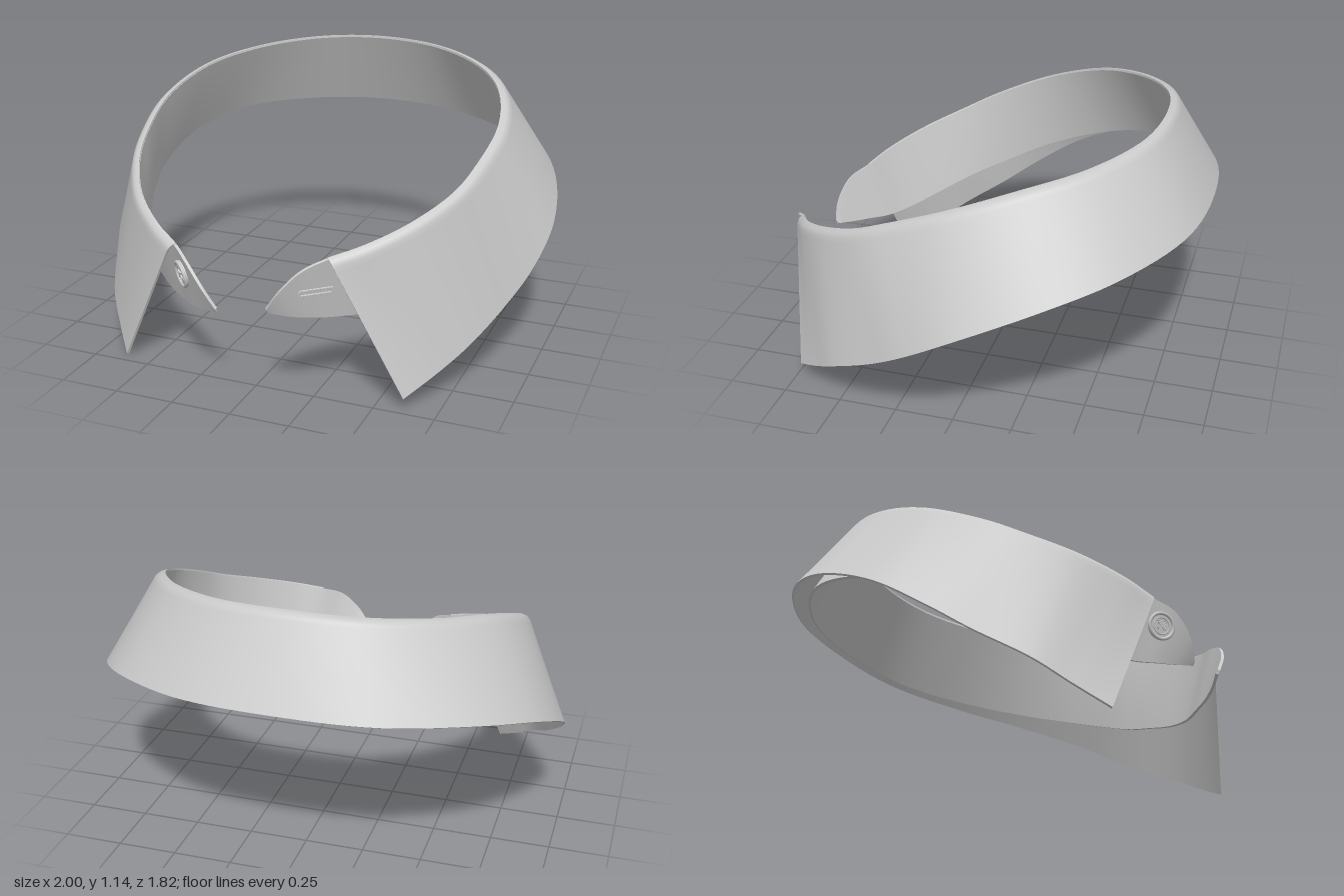
import * as THREE from 'three';
import { mergeGeometries } from 'three/addons/utils/BufferGeometryUtils.js';
import { ParametricGeometry } from 'three/addons/geometries/ParametricGeometry.js';

const V = (x, y, z) => new THREE.Vector3(x, y, z);
const material = new THREE.MeshStandardMaterial({ color: 0xcccccc, side: THREE.DoubleSide });

// Half outlines, from the centre of the back round to the front on +x
const fold = [
  [0, 1.16, -0.715], [0.3, 1.15, -0.665], [0.55, 1.12, -0.5], [0.71, 1.075, -0.27], [0.785, 0.99, 0],
  [0.76, 0.885, 0.27], [0.715, 0.82, 0.42], [0.6, 0.745, 0.61], [0.46, 0.685, 0.75], [0.34, 0.645, 0.825]];
const leafEdge = [
  [0, 0.81, -0.91], [0.4, 0.8, -0.855], [0.74, 0.765, -0.655], [0.92, 0.69, -0.4], [0.995, 0.56, -0.1],
  [0.965, 0.43, 0.12], [0.9, 0.325, 0.29], [0.805, 0.215, 0.49], [0.715, 0.135, 0.61], [0.615, 0.06, 0.73]];
const standTip = [[0.25, 0.59, 0.87], [0.17, 0.505, 0.9], [0.115, 0.425, 0.895]];
const standEdge = [
  [0, 0.805, -0.865], [0.38, 0.795, -0.8], [0.68, 0.77, -0.6], [0.82, 0.71, -0.34], [0.835, 0.61, -0.02],
  [0.745, 0.5, 0.26], [0.67, 0.455, 0.39], [0.56, 0.4, 0.53], [0.45, 0.368, 0.64], [0.35, 0.365, 0.72],
  [0.27, 0.375, 0.79], [0.19, 0.39, 0.845], [0.115, 0.41, 0.885]];
// The stand's top sits just inside the fold
const standTop = fold.map(([x, y, z]) => [x * 0.978, y - 0.015, z * 0.978]).concat(standTip);

// Whole curve: the half outline mirrored, with the right side hanging a little lower
function wholeCurve(half) {
  const right = half.slice(1).map(([x, y, z], i) => {
    const sag = Math.min(1, (i + 1) / 9);
    return V(-x - 0.01 * sag * (x > 0.5), y - 0.052 * sag, z - 0.035 * sag);
  }).reverse();
  return new THREE.CatmullRomCurve3([...right, ...half.map(p => V(...p))]);
}

// Ruled surface between two curves; roll tucks its upper border inward
function ruled(topHalf, bottomHalf, roll = 0) {
  const top = wholeCurve(topHalf), bottom = wholeCurve(bottomHalf);
  return (u, v) => {
    u = THREE.MathUtils.clamp(u, 0, 1);
    const p = top.getPoint(u).lerp(bottom.getPoint(u), v);
    const k = roll * Math.max(0, 1 - v / 0.08) ** 2;
    const r = Math.hypot(p.x, p.z);
    return p.add(V(-p.x / r * k, -0.6 * k, -p.z / r * k));
  };
}

function normalAt(surface, u, v) {
  const e = 0.002;
  const u0 = Math.max(0, u - e), u1 = Math.min(1, u + e), v0 = Math.max(0, v - e), v1 = Math.min(1, v + e);
  const du = surface(u1, v).sub(surface(u0, v));
  const dv = surface(u, v1).sub(surface(u, v0));
  return du.cross(dv).normalize();
}

// Cloth of even thickness: two faces and four narrow borders
function cloth(name, surface, thickness, nu, nv) {
  const at = (u, v, w) => surface(u, v).addScaledVector(normalAt(surface, u, v), thickness * (0.5 - w));
  const patch = (fn, a, b) => new ParametricGeometry((s, t, out) => out.copy(fn(s, t)), a, b);
  const geometry = mergeGeometries([
    patch((s, t) => at(s, t, 0), nu, nv),
    patch((s, t) => at(1 - s, t, 1), nu, nv),
    patch((s, t) => at(s, 1, t), nu, 1),
    patch((s, t) => at(1 - s, 0, t), nu, 1),
    patch((s, t) => at(0, s, t), nv, 1),
    patch((s, t) => at(1, 1 - s, t), nv, 1),
  ]);
  const mesh = new THREE.Mesh(geometry, material);
  mesh.name = name;
  return mesh;
}

// Place a part on a surface where it shows at x, y from the front
function placeOn(surface, part, x, y, uFrom, uTo) {
  let best = Infinity, bu = 0, bv = 0;
  for (let i = 0; i <= 80; i++) for (let j = 0; j <= 40; j++) {
    const u = uFrom + (uTo - uFrom) * i / 80, v = j / 40;
    const p = surface(u, v), d = Math.hypot(p.x - x, p.y - y);
    if (d < best) { best = d; bu = u; bv = v; }
  }
  const p = surface(bu, bv), n = normalAt(surface, bu, bv);
  part.position.copy(p).addScaledVector(n, 0.007);
  part.lookAt(part.position.clone().add(n));
}

function add(group, name, geometry, x = 0, y = 0, z = 0) {
  const mesh = new THREE.Mesh(geometry, material);
  mesh.name = name;
  mesh.position.set(x, y, z);
  group.add(mesh);
  return mesh;
}

function makeButton() {
  const button = new THREE.Group();
  button.name = 'button';
  const disc = new THREE.Shape().absarc(0, 0, 0.056, 0, Math.PI * 2);
  for (const x of [-1, 1]) for (const y of [-1, 1])
    disc.holes.push(new THREE.Path().absarc(x * 0.014, y * 0.014, 0.007, 0, Math.PI * 2, true));
  add(button, 'buttonDisc', new THREE.ExtrudeGeometry(disc, { depth: 0.01, bevelEnabled: false, curveSegments: 24 }));
  add(button, 'buttonRim', new THREE.TorusGeometry(0.052, 0.007, 8, 40), 0, 0, 0.01);
  add(button, 'buttonInnerRing', new THREE.TorusGeometry(0.034, 0.003, 6, 32), 0, 0, 0.01);
  // Crossed thread
  for (const a of [-1, 1])
    add(button, 'buttonThread', new THREE.BoxGeometry(0.042, 0.007, 0.006), 0, 0, 0.012).rotation.z = a * Math.PI / 4;
  return button;
}

function stadium(Type, halfLength, r) {
  const path = new Type();
  path.absarc(halfLength, 0, r, -Math.PI / 2, Math.PI / 2);
  path.absarc(-halfLength, 0, r, Math.PI / 2, Math.PI * 1.5);
  path.closePath();
  return path;
}

function makeButtonhole() {
  const hole = new THREE.Group();
  hole.name = 'buttonhole';
  const border = stadium(THREE.Shape, 0.058, 0.017);
  border.holes.push(stadium(THREE.Path, 0.058, 0.005));
  add(hole, 'buttonholeBorder', new THREE.ExtrudeGeometry(border, { depth: 0.005, bevelEnabled: false, curveSegments: 8 }));
  // Stitches along both lips
  for (let i = -6; i <= 6; i++) for (const s of [-1, 1])
    add(hole, 'buttonholeStitch', new THREE.BoxGeometry(0.006, 0.011, 0.004), i * 0.0095, s * 0.011, 0.006);
  return hole;
}

export function createModel() {
  const group = new THREE.Group();
  group.name = 'shirtCollar';

  const leaf = ruled(fold, leafEdge, 0.022);
  const stand = ruled(standTop, standEdge);
  group.add(cloth('collarLeaf', leaf, 0.01, 120, 28));
  group.add(cloth('collarStand', stand, 0.012, 140, 16));

  const button = makeButton(), buttonhole = makeButtonhole();
  placeOn(stand, button, -0.29, 0.47, 0, 0.25);
  placeOn(stand, buttonhole, 0.285, 0.495, 0.75, 1);
  group.add(button, buttonhole);
  return group;
}
